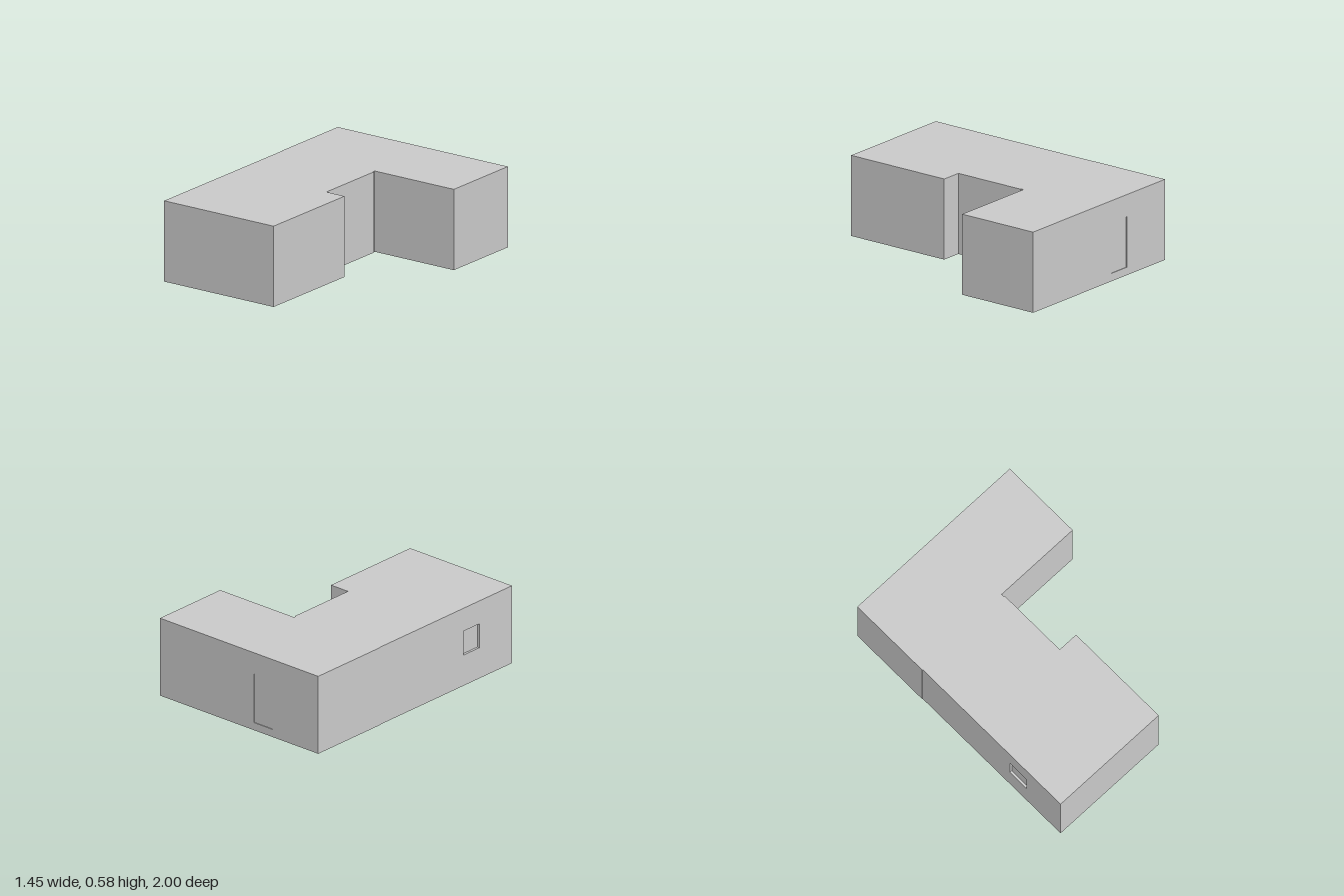
import * as THREE from 'three';

const HEIGHT = 0.582;
const material = new THREE.MeshStandardMaterial({ color: 0xcccccc, flatShading: true });

// Footprint corners [x, z], anticlockwise seen from above, starting at the front
const FOOTPRINT = [
  [-0.72, 1], [0.212, 1], [0.212, 0.185], [0.057, 0.185], [0.057, -0.36], [0.05, -0.36],
  [0.05, -0.38], [0.724, -0.38], [0.724, -1], [-0.724, -1], [-0.724, -0.36], [-0.72, -0.36],
];

// Recessed openings by wall index: distances along the wall, heights and depth
const OPENINGS = {
  8: { name: 'backPanel', u0: 0.861, u1: 1.029, y0: 0.057, y1: 0.423, depth: 0.005 },
  10: { name: 'backWindow', u0: 0.26, u1: 0.424, y0: 0.23, y1: 0.41, depth: 0.018 },
  11: { name: 'frontWindow', u0: 0.86, u1: 1.023, y0: 0.23, y1: 0.41, depth: 0.018 },
};

function addMesh(parent, name, geometry) {
  const mesh = new THREE.Mesh(geometry, material);
  mesh.name = name;
  parent.add(mesh);
  return mesh;
}

function polygon(points) {
  return points.map(([x, y]) => new THREE.Vector2(x, y));
}

// Sunken pane with four reveals facing into the opening
function createRecess({ name, u0, u1, y0, y1, depth }) {
  const recess = new THREE.Group();
  recess.name = name;
  const w = u1 - u0, h = y1 - y0;
  recess.position.set((u0 + u1) / 2, (y0 + y1) / 2, 0);
  addMesh(recess, 'pane', new THREE.PlaneGeometry(w, h)).position.z = -depth;
  for (const s of [-1, 1]) {
    const jamb = addMesh(recess, 'jamb', new THREE.PlaneGeometry(depth, h));
    jamb.position.set(s * w / 2, 0, -depth / 2);
    jamb.rotation.y = -s * Math.PI / 2;
    const ledge = addMesh(recess, s < 0 ? 'sill' : 'lintel', new THREE.PlaneGeometry(w, depth));
    ledge.position.set(0, s * h / 2, -depth / 2);
    ledge.rotation.x = s * Math.PI / 2;
  }
  return recess;
}

// Upright wall from corner a to corner b, facing outwards
function createWall([ax, az], [bx, bz], opening) {
  const wall = new THREE.Group();
  wall.name = 'wall';
  const length = Math.hypot(bx - ax, bz - az);
  const shape = new THREE.Shape(polygon([[0, 0], [length, 0], [length, HEIGHT], [0, HEIGHT]]));
  if (opening) {
    const { u0, u1, y0, y1 } = opening;
    shape.holes.push(new THREE.Path(polygon([[u0, y0], [u0, y1], [u1, y1], [u1, y0]])));
    wall.add(createRecess(opening));
  }
  addMesh(wall, 'wallFace', new THREE.ShapeGeometry(shape));
  wall.position.set(ax, 0, az);
  wall.rotation.y = Math.atan2(az - bz, bx - ax);
  return wall;
}

export function createModel() {
  const building = new THREE.Group();
  building.name = 'building';

  // Outer walls
  FOOTPRINT.forEach((corner, i) => {
    building.add(createWall(corner, FOOTPRINT[(i + 1) % FOOTPRINT.length], OPENINGS[i]));
  });

  // Flat roof and floor
  const roofShape = new THREE.Shape(polygon(FOOTPRINT.map(([x, z]) => [x, -z])));
  const roof = addMesh(building, 'roof', new THREE.ShapeGeometry(roofShape).rotateX(-Math.PI / 2));
  roof.position.y = HEIGHT;
  const floorShape = new THREE.Shape(polygon(FOOTPRINT));
  addMesh(building, 'floor', new THREE.ShapeGeometry(floorShape).rotateX(Math.PI / 2));

  return building;
}
